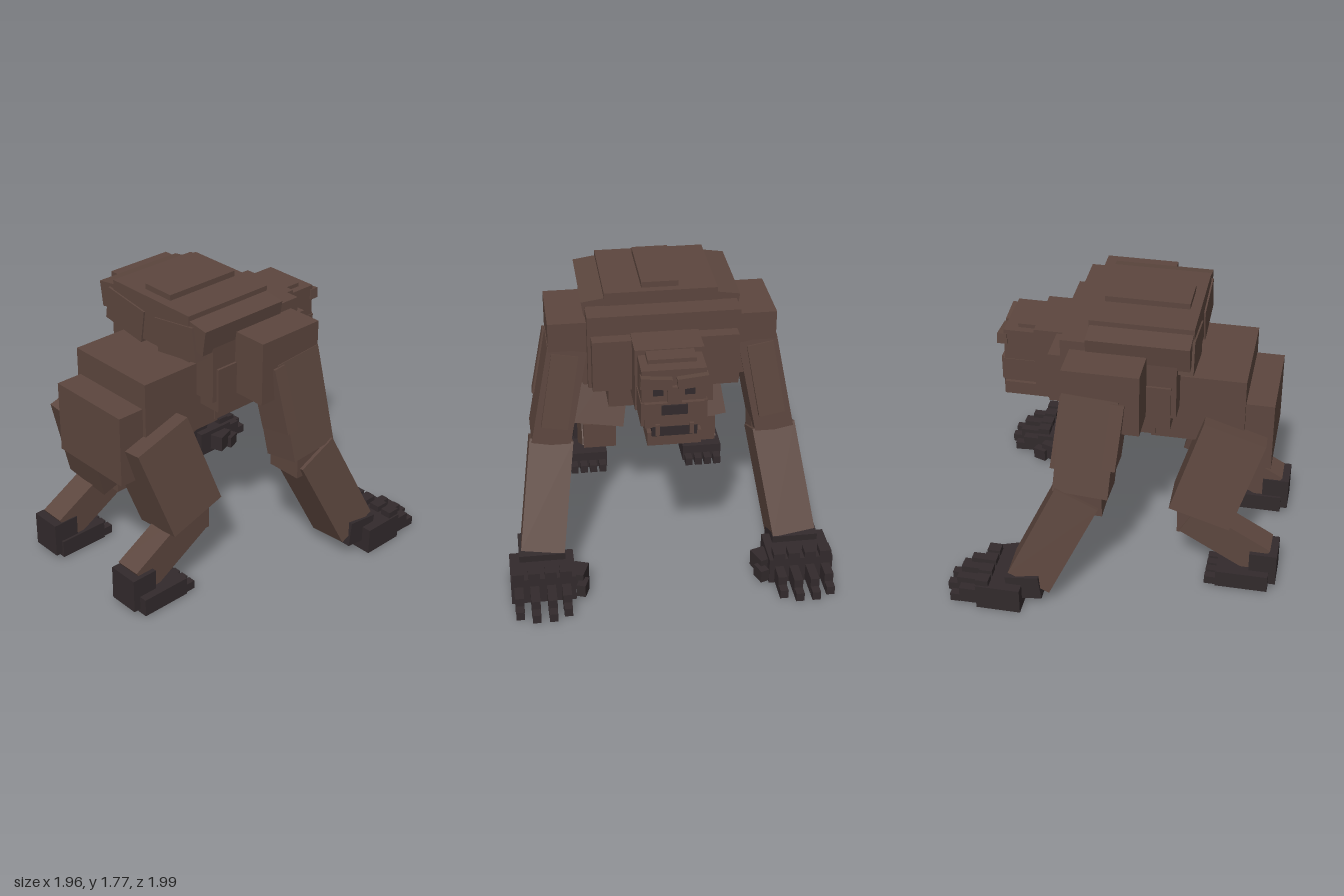
import * as THREE from 'three';

export function createModel() {
  const model = new THREE.Group();
  const fur = new THREE.MeshStandardMaterial({ color: 0x5c463e });
  fur.name = 'brown fur';
  const skin = new THREE.MeshStandardMaterial({ color: 0x322a2c });
  skin.name = 'dark skin';

  // Box given by its extents on each axis
  function box(name, [x0, x1], [y0, y1], [z0, z1], mat = fur, parent = model) {
    const m = new THREE.Mesh(new THREE.BoxGeometry(x1 - x0, y1 - y0, z1 - z0), mat);
    m.position.set((x0 + x1) / 2, (y0 + y1) / 2, (z0 + z1) / 2);
    m.name = name;
    parent.add(m);
    return m;
  }

  // Box running from a (top) to b (bottom), kept square to the x axis
  function limb(name, a, b, w, d, mat = fur, parent = model) {
    const A = new THREE.Vector3(...a), B = new THREE.Vector3(...b);
    const up = A.clone().sub(B);
    const m = new THREE.Mesh(new THREE.BoxGeometry(w, up.length(), d), mat);
    m.position.copy(A).add(B).multiplyScalar(0.5);
    up.normalize();
    const side = new THREE.Vector3(1, 0, 0).addScaledVector(up, -up.x).normalize();
    m.quaternion.setFromRotationMatrix(
      new THREE.Matrix4().makeBasis(side, up, side.clone().cross(up)));
    m.name = name;
    parent.add(m);
    return m;
  }

  // Torso
  box('pelvis', [-0.285, 0.285], [0.79, 1.24], [0.45, 0.9]);
  box('abdomen', [-0.31, 0.31], [0.96, 1.405], [0.17, 0.73]);
  box('belly', [-0.32, 0.32], [0.98, 1.3], [-0.2, 0.2]);
  box('chest', [-0.45, 0.45], [1.2, 1.66], [-0.34, 0.34]);
  box('upperBack', [-0.335, 0.335], [1.45, 1.74], [-0.195, 0.42]);
  box('spineRidge', [-0.11, 0.11], [1.72, 1.775], [-0.145, 0.36]);

  // Head
  box('neck', [-0.2, 0.2], [1.16, 1.55], [-0.56, -0.3]);
  box('skull', [-0.185, 0.185], [1.18, 1.52], [-0.75, -0.5]);
  box('crest', [-0.14, 0.14], [1.4, 1.545], [-0.67, -0.4]);
  box('muzzle', [-0.17, 0.17], [1.165, 1.32], [-0.775, -0.55]);
  box('mouth', [-0.13, 0.13], [1.11, 1.17], [-0.778, -0.61], skin);
  box('jaw', [-0.155, 0.155], [1.045, 1.13], [-0.77, -0.48]);
  box('noseBridge', [-0.04, 0.04], [1.3, 1.42], [-0.775, -0.74]);
  box('nose', [-0.075, 0.075], [1.25, 1.31], [-0.785, -0.77], skin);

  // Paired parts, built on +x and mirrored by position
  function buildSide() {
    const g = new THREE.Group();
    const add = (name, x, y, z, mat = fur) => box(name, x, y, z, mat, g);
    const bone = (name, a, b, w, d, mat = fur) => limb(name, a, b, w, d, mat, g);

    // Torso muscles
    add('lat', [0.3, 0.465], [1.13, 1.41], [-0.17, 0.31]);
    add('pectoral', [0.04, 0.43], [1.22, 1.54], [-0.42, -0.3]);
    add('trapezius', [0.18, 0.46], [1.55, 1.71], [-0.19, 0.415]).rotation.z = -0.15;
    add('shoulderBlade', [0.06, 0.39], [1.45, 1.66], [0.3, 0.43]).rotation.z = 0.15;

    // Face
    add('brow', [0.015, 0.195], [1.42, 1.485], [-0.79, -0.73]).rotation.z = 0.1;
    add('eye', [0.06, 0.12], [1.36, 1.4], [-0.756, -0.748], skin);
    add('cheek', [0.14, 0.19], [1.17, 1.32], [-0.76, -0.55]);
    add('fang', [0.085, 0.11], [1.12, 1.19], [-0.79, -0.765]);

    // Arm
    add('shoulder', [0.43, 0.675], [1.21, 1.605], [-0.285, 0.165]);
    bone('upperArm', [0.565, 1.42, -0.12], [0.685, 0.805, -0.165], 0.235, 0.33);
    bone('triceps', [0.585, 1.4, 0.04], [0.668, 0.99, 0], 0.22, 0.08);
    bone('biceps', [0.58, 1.4, -0.27], [0.66, 0.94, -0.325], 0.16, 0.06);
    bone('elbow', [0.675, 0.82, -0.13], [0.675, 0.68, -0.13], 0.225, 0.19);
    bone('forearm', [0.68, 0.785, -0.19], [0.775, 0.17, -0.48], 0.265, 0.28);
    bone('forearmRidge', [0.69, 0.75, -0.34], [0.755, 0.335, -0.54], 0.1, 0.03);

    // Hand
    add('wrist', [0.64, 0.92], [0.07, 0.23], [-0.61, -0.4], skin).rotation.x = -0.12;
    add('palm', [0.59, 0.98], [0, 0.17], [-0.79, -0.515], skin);
    [0.65, 0.74, 0.84, 0.935].forEach((x, i) => {
      const end = i === 0 || i === 3 ? -0.96 : -1;
      add('knuckle', [x - 0.035, x + 0.035], [0.15, 0.21], [-0.79, -0.71], skin);
      add('finger', [x - 0.027, x + 0.027], [0.015, 0.12], [end + 0.06, -0.78], skin);
      add('fingertip', [x - 0.025, x + 0.025], [0.01, 0.065], [end, end + 0.06], skin);
    });
    add('thumb', [0.52, 0.61], [0.03, 0.14], [-0.74, -0.61], skin).rotation.y = -0.35;
    add('thumbTip', [0.52, 0.575], [0.02, 0.1], [-0.8, -0.71], skin).rotation.y = -0.35;

    // Leg
    bone('thigh', [0.25, 1.07, 0.68], [0.342, 0.485, 0.495], 0.325, 0.39);
    add('knee', [0.225, 0.44], [0.34, 0.52], [0.36, 0.53]);
    bone('shin', [0.365, 0.45, 0.43], [0.37, 0.185, 0.89], 0.165, 0.22);

    // Foot
    add('heel', [0.28, 0.48], [0.04, 0.26], [0.82, 0.99], skin);
    add('foot', [0.265, 0.53], [0.015, 0.13], [0.62, 0.945], skin);
    [0.3, 0.365, 0.43, 0.495].forEach((x) =>
      add('toe', [x - 0.024, x + 0.024], [0.015, 0.07], [0.55, 0.63], skin));
    return g;
  }

  // Every paired part is a box, so a mirrored copy only flips position and turn
  const left = buildSide();
  left.name = 'leftSide';
  const right = buildSide();
  right.name = 'rightSide';
  right.children.forEach((m) => {
    m.position.x *= -1;
    const q = m.quaternion;
    q.set(q.x, -q.y, -q.z, q.w);
  });
  model.add(left, right);
  return model;
}
